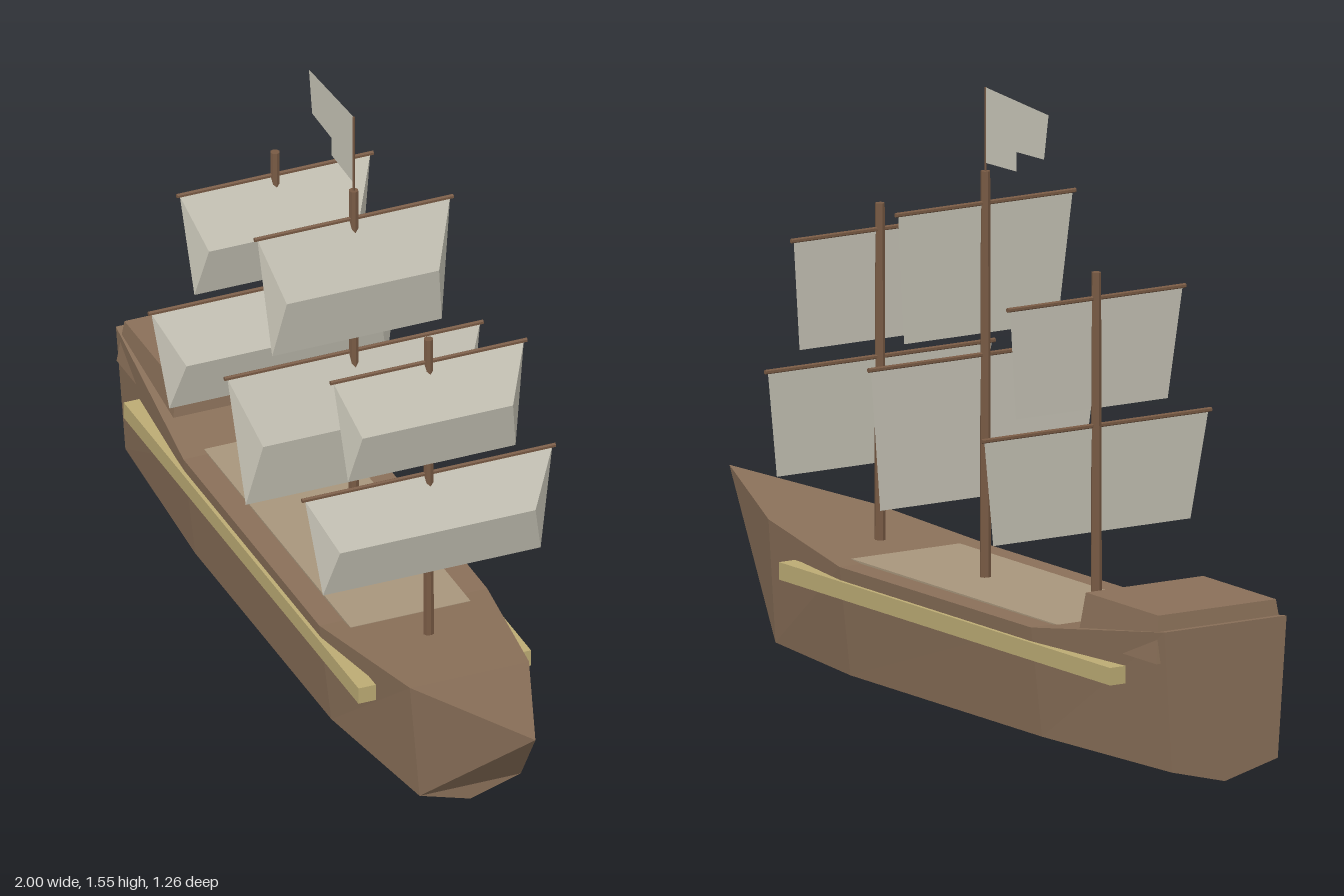
import * as THREE from 'three';

const mat = (name, color, side = THREE.FrontSide) => {
  const m = new THREE.MeshStandardMaterial({ color, side, flatShading: true });
  m.name = name;
  return m;
};

// Non-indexed geometry from quads and triangles of [x, y, z] corners
function facets(faces) {
  const pos = [];
  for (const f of faces)
    for (let i = 1; i < f.length - 1; i++) pos.push(...f[0], ...f[i], ...f[i + 1]);
  const g = new THREE.BufferGeometry();
  g.setAttribute('position', new THREE.Float32BufferAttribute(pos, 3));
  g.computeVertexNormals();
  return g;
}

// Hull lofted through stations, with a V keel, a chine and a rising sheer
function hullGeometry() {
  // sheer x, sheer y, sheer half width, lower x, chine half width
  const stations = [
    [-1.025, 0.395, 0.18, -1.022, 0.156],
    [-0.5, 0.318, 0.224, -0.5, 0.192],
    [0.35, 0.316, 0.224, 0.35, 0.192],
    [0.763, 0.353, 0.159, 0.768, 0.135],
    [1.176, 0.396, 0, 0.768, 0.135],
  ].map(([sx, sy, sw, lx, cw]) => [
    [lx, 0, 0], [lx, 0.04, cw], [sx, sy, sw], [sx, sy, -sw], [lx, 0.04, -cw],
  ]);
  const faces = [stations[0], [...stations.at(-1)].reverse()];
  for (let s = 0; s < stations.length - 1; s++) {
    const a = stations[s], b = stations[s + 1];
    for (let i = 0; i < 5; i++) {
      const j = (i + 1) % 5;
      faces.push([a[i], b[i], b[j], a[j]]);
    }
  }
  return facets(faces);
}

// Billowed sail with a flat back, hanging from y = 0
function sailGeometry(half, height) {
  const corner = (x, y, w) => [[x, y, w], [x, y, -w]];
  const [tl, tr] = corner(0, 0, half);
  const [ml, mr] = corner(0.058, -height * 0.5, half * 0.79);
  const [bl, br] = corner(0.02, -height, half * 0.88);
  return facets([
    [tl, ml, mr, tr], [ml, bl, br, mr], [tl, bl, ml], [tr, mr, br], [tl, tr, br, bl],
  ]);
}

export function createModel() {
  const wood = mat('hull brown', 0x8a7059);
  const planks = mat('deck tan', 0xa8967c);
  const spar = mat('spar brown', 0x785a44);
  const trim = mat('trim yellow', 0xbcab74);
  const cloth = mat('sail cloth', 0xcac7b9, THREE.DoubleSide);

  const ship = new THREE.Group();
  ship.name = 'ship';
  const add = (name, geo, material, x = 0, y = 0, z = 0, parent = ship) => {
    const m = new THREE.Mesh(geo, material);
    m.name = name;
    m.position.set(x, y, z);
    parent.add(m);
    return m;
  };

  add('hull', hullGeometry(), wood);
  add('deckPanel', new THREE.BoxGeometry(0.96, 0.008, 0.32), planks, -0.085, 0.317, 0);

  // Stern cabin, narrowing towards its roof
  const cabin = new THREE.BoxGeometry(0.35, 0.118, 0.376);
  const p = cabin.attributes.position;
  for (let i = 0; i < p.count; i++)
    if (p.getY(i) > 0) p.setXYZ(i, p.getX(i) * 0.92, p.getY(i), p.getZ(i) * 0.92);
  cabin.computeVertexNormals();
  add('sternCabin', cabin, wood, -0.827, 0.371, 0);

  // Rubbing strakes along both sides
  for (const s of [-1, 1])
    add(s > 0 ? 'rightStrake' : 'leftStrake',
      new THREE.BoxGeometry(1.468, 0.044, 0.046), trim, -0.125, 0.26, s * 0.207);

  // Masts with two yards and two sails each: [yard y, half width, sail height]
  const rigs = [
    ['mizzen', -0.452, 1.175, [[0.79, 0.338, 0.27], [1.11, 0.262, 0.28]]],
    ['main', 0.04, 1.34, [[0.88, 0.345, 0.36], [1.26, 0.265, 0.33]]],
    ['fore', 0.508, 1.175, [[0.79, 0.338, 0.27], [1.11, 0.262, 0.28]]],
  ];
  for (const [name, x, top, yards] of rigs) {
    const rig = new THREE.Group();
    rig.name = name + 'Rig';
    rig.position.x = x;
    ship.add(rig);
    const h = top - 0.29;
    add(name + 'Mast', new THREE.CylinderGeometry(0.012, 0.014, h, 8), spar, 0, top - h / 2, 0, rig);
    for (const [y, half, height] of yards) {
      add(name + 'Yard', new THREE.CylinderGeometry(0.006, 0.006, half * 2, 6), spar, 0, y, 0, rig)
        .rotation.x = Math.PI / 2;
      add(name + 'Sail', sailGeometry(half - 0.008, height), cloth, 0, y - 0.002, 0, rig);
    }
  }

  // Flagpole and stepped flag streaming aft
  add('flagpole', new THREE.CylinderGeometry(0.003, 0.003, 0.22, 6), spar, 0.04, 1.44, 0);
  const outline = [[0, 1.55], [-0.28, 1.53], [-0.26, 1.415], [-0.138, 1.412], [-0.138, 1.363], [0, 1.36]];
  const flag = new THREE.Shape(outline.map(([x, y]) => new THREE.Vector2(x, y)));
  add('flag', new THREE.ShapeGeometry(flag), cloth, 0.04, 0, 0);

  // Turn the ship so the bow points diagonally forward
  ship.position.z = 0.043;
  const model = new THREE.Group();
  model.name = 'sailingShip';
  const heading = new THREE.Group();
  heading.name = 'heading';
  heading.rotation.y = -Math.PI / 6;
  heading.add(ship);
  model.add(heading);
  return model;
}
